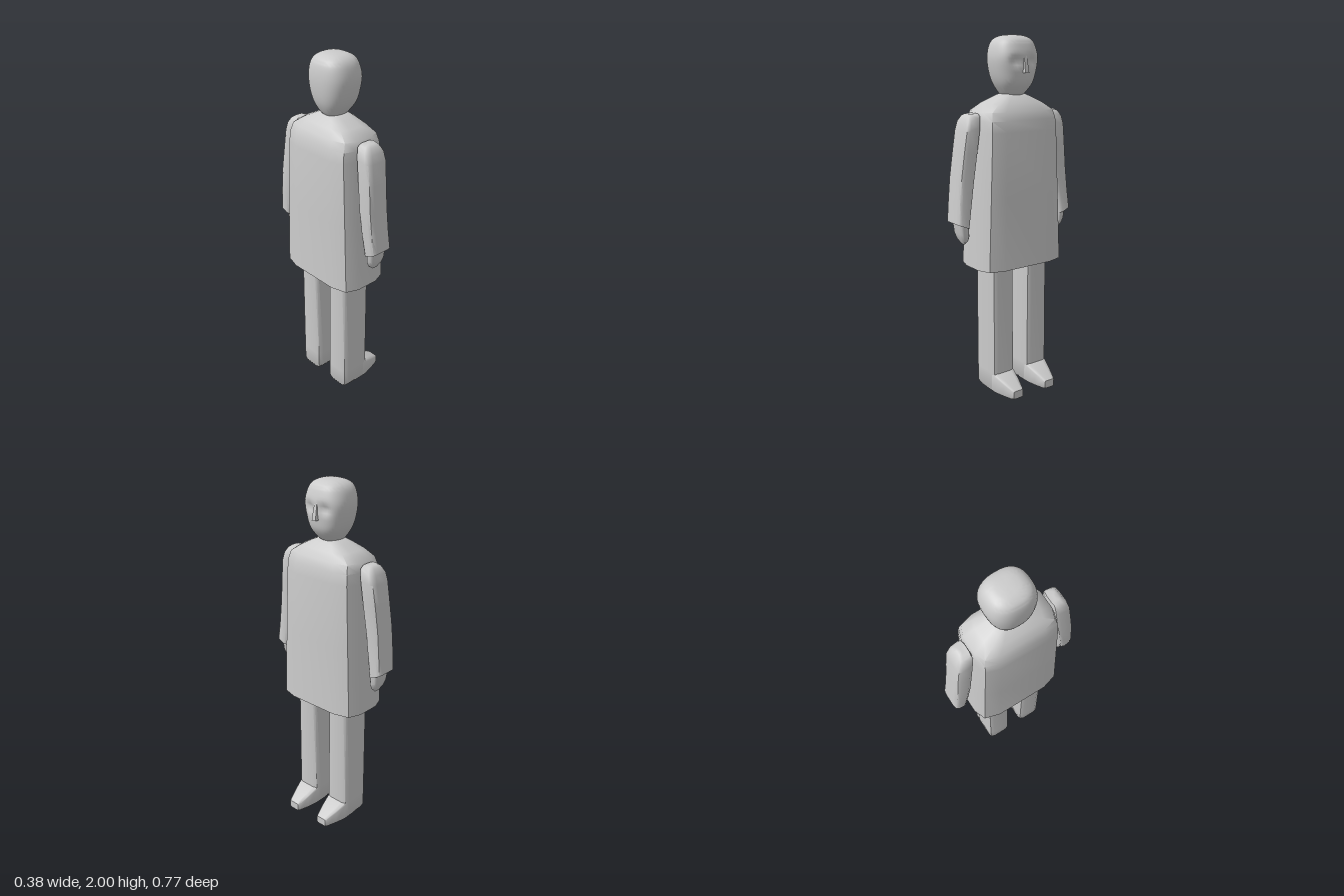
import * as THREE from 'three';
import { toCreasedNormals } from 'three/addons/utils/BufferGeometryUtils.js';

const material = new THREE.MeshStandardMaterial({ color: 0xcccccc });
const openMaterial = new THREE.MeshStandardMaterial({ color: 0xcccccc, side: THREE.DoubleSide });

// Twelve-sided outline of a rectangle with softened corners, in the unit square
function softBox(a = 0.4, b = 0.84, c = 0.9, d = 0.57) {
  const q = [[1, d], [b, c], [a, 1]];
  const back = q.map(([x, z]) => [-x, z]).reverse();
  const half = [...q, ...back];
  return [...half, ...half.map(([x, z]) => [-x, -z])];
}

// Rounded outline with n sides
function roundOutline(n, power) {
  const f = (v) => Math.sign(v) * Math.abs(v) ** (2 / power);
  return Array.from({ length: n }, (_, i) => {
    const t = (i / n) * Math.PI * 2;
    return [f(Math.cos(t)), f(Math.sin(t))];
  });
}

// Skin over rings [y, xMin, xMax, zMin, zMax, tilt]; side = -1 mirrors in z
function loft(rings, outline, { side = 1, bottom = true, top = true } = {}) {
  const pos = [], index = [], n = outline.length;
  for (const [y, x0, x1, z0, z1, tilt = 0] of rings) {
    const hx = (x1 - x0) / 2, hz = (z1 - z0) / 2;
    for (const [u, v] of outline) {
      pos.push((x0 + x1) / 2 + u * hx, y + tilt * v * side, side * (z0 + z1) / 2 + v * hz);
    }
  }
  for (let i = 0; i < rings.length - 1; i++) {
    for (let j = 0; j < n; j++) {
      const a = i * n + j, b = i * n + (j + 1) % n;
      index.push(a, a + n, b + n, a, b + n, b);
    }
  }
  const cap = (i, up) => {
    const [y, x0, x1, z0, z1] = rings[i], c = pos.length / 3;
    pos.push((x0 + x1) / 2, y, side * (z0 + z1) / 2);
    for (let j = 0; j < n; j++) {
      const a = i * n + j, b = i * n + (j + 1) % n;
      index.push(c, up ? b : a, up ? a : b);
    }
  };
  if (bottom) cap(0, false);
  if (top) cap(rings.length - 1, true);
  const geometry = new THREE.BufferGeometry();
  geometry.setAttribute('position', new THREE.Float32BufferAttribute(pos, 3));
  geometry.setIndex(index);
  return geometry;
}

function part(name, geometry, crease = 0.9, mat = material) {
  const mesh = new THREE.Mesh(toCreasedNormals(geometry, crease), mat);
  mesh.name = name;
  return mesh;
}

// Smooth head with hollows for the eyes and a wedge nose
function makeHead() {
  const rows = [
    [1.68, -0.08, 0.02, -0.05, 0.05], [1.7, -0.1, 0.045, -0.068, 0.068],
    [1.75, -0.125, 0.08, -0.1, 0.1], [1.81, -0.138, 0.092, -0.12, 0.12],
    [1.88, -0.142, 0.1, -0.13, 0.13], [1.94, -0.135, 0.086, -0.12, 0.12],
    [1.975, -0.118, 0.068, -0.1, 0.1], [1.994, -0.085, 0.035, -0.068, 0.068],
    [2.0, -0.05, 0, -0.03, 0.03],
  ];
  const steps = 32, rings = [];
  for (let i = 0; i <= steps; i++) {
    const t = (i / steps) * (rows.length - 1), k = Math.min(Math.floor(t), rows.length - 2);
    const at = (m) => rows[THREE.MathUtils.clamp(m, 0, rows.length - 1)];
    const f = t - k;
    rings.push(rows[0].map((_, c) => {
      const [p, q, r, s] = [at(k - 1)[c], at(k)[c], at(k + 1)[c], at(k + 2)[c]];
      return q + 0.5 * f * (r - p + f * (2 * p - 5 * q + 4 * r - s + f * (3 * (q - r) + s - p)));
    }));
  }
  const geometry = loft(rings, roundOutline(48, 2.6));
  const p = geometry.attributes.position;
  for (let i = 0; i < p.count; i++) {
    if (p.getX(i) < 0) continue;
    const dy = (p.getY(i) - 1.865) / 0.025, dz = (Math.abs(p.getZ(i)) - 0.05) / 0.032;
    p.setX(i, p.getX(i) - 0.022 * Math.exp(-dy * dy - dz * dz));
  }
  const nose = loft([
    [1.805, 0.06, 0.113, -0.013, 0.013], [1.825, 0.06, 0.11, -0.012, 0.012],
    [1.895, 0.06, 0.096, -0.008, 0.008],
  ], [[1, 1], [-1, 1], [-1, -1], [1, -1]]);
  const head = new THREE.Group();
  head.name = 'head';
  head.add(part('face', geometry, 1.2), part('nose', nose, 0.5));
  return head;
}

export function createModel() {
  const model = new THREE.Group();
  const outline = softBox();

  // Long coat, open at the hem
  const coat = loft([
    [0.765, -0.178, 0.118, -0.257, 0.257], [0.75, -0.182, 0.122, -0.262, 0.262],
    [0.75, -0.192, 0.13, -0.27, 0.27], [1.15, -0.188, 0.126, -0.252, 0.252],
    [1.5, -0.185, 0.122, -0.236, 0.236], [1.56, -0.178, 0.116, -0.232, 0.232],
    [1.605, -0.16, 0.1, -0.222, 0.222], [1.645, -0.133, 0.073, -0.16, 0.16],
    [1.675, -0.1, 0.045, -0.1, 0.1], [1.695, -0.075, 0.02, -0.055, 0.055],
  ], outline, { bottom: false });
  model.add(part('coat', coat, 0.9, openMaterial), makeHead());

  for (const side of [1, -1]) {
    const prefix = side === 1 ? 'left' : 'right';

    // Straight leg with a rounded bottom edge
    const leg = loft([
      [0, -0.115, 0.05, 0.058, 0.175], [0.02, -0.125, 0.06, 0.044, 0.188],
      [0.12, -0.125, 0.062, 0.043, 0.189], [0.95, -0.125, 0.062, 0.05, 0.186],
    ], softBox(0.6, 0.9, 0.9, 0.6), { side });
    model.add(part(prefix + 'Leg', leg));

    // Tapered foot, skinned along its length and turned to point forward
    const foot = loft([
      [-0.03, -0.14, 0, 0.046, 0.186], [0.06, -0.116, 0, 0.046, 0.186],
      [0.12, -0.086, 0, 0.058, 0.17], [0.175, -0.059, 0, 0.074, 0.152],
      [0.19, -0.05, -0.004, 0.08, 0.145],
    ], softBox(0.75, 0.93, 0.93, 0.6), { side }).rotateZ(-Math.PI / 2);
    model.add(part(prefix + 'Foot', foot));

    // Sleeve with a slanted cuff
    const arm = new THREE.Group();
    arm.name = prefix + 'Arm';
    const sleeve = loft([
      [1.005, -0.108, 0.03, 0.312, 0.384, 0.015], [1.12, -0.113, 0.024, 0.292, 0.373, 0.01],
      [1.25, -0.115, 0.022, 0.273, 0.36, 0.01], [1.4, -0.108, 0.028, 0.252, 0.344],
      [1.52, -0.104, 0.034, 0.237, 0.329, -0.01], [1.57, -0.097, 0.027, 0.232, 0.318, -0.015],
      [1.593, -0.08, 0.01, 0.236, 0.3, -0.006], [1.598, -0.06, -0.01, 0.245, 0.285],
    ], softBox(0.5, 0.88, 0.88, 0.5), { side });

    // Mitten hand
    const hand = loft([
      [0.9, -0.05, -0.015, 0.313, 0.327, -0.004], [0.92, -0.073, 0.004, 0.31, 0.343, 0.006],
      [0.95, -0.083, 0.014, 0.305, 0.354, 0.008], [1.03, -0.09, 0.018, 0.312, 0.362],
    ], outline, { side });
    arm.add(part(prefix + 'Sleeve', sleeve), part(prefix + 'Hand', hand));
    model.add(arm);
  }
  return model;
}
